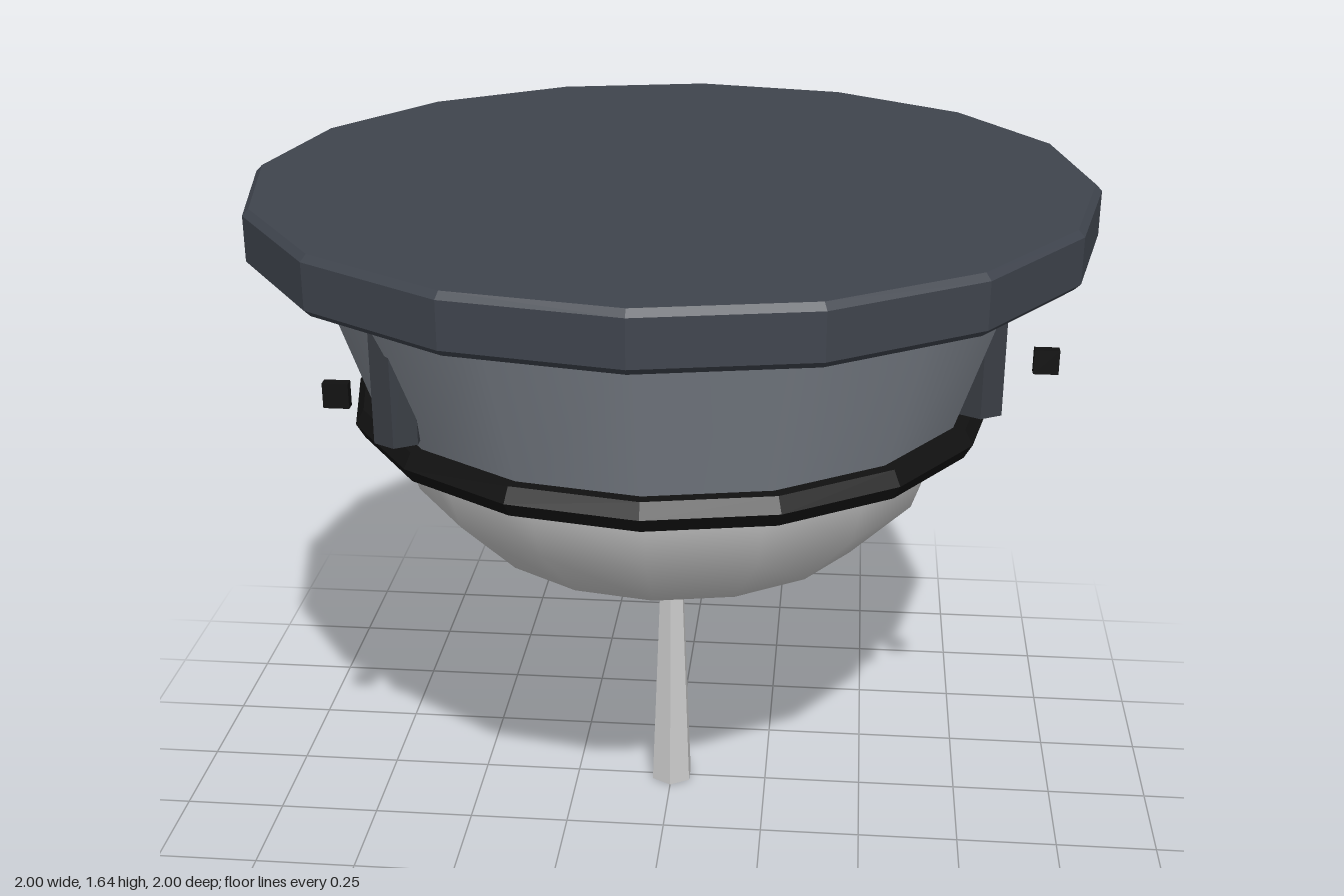
import * as THREE from 'three';

const SIDES = 16;

function mat(color, flatShading = false) {
  return new THREE.MeshStandardMaterial({ color, flatShading });
}

function add(parent, name, geometry, material, x = 0, y = 0, z = 0) {
  const mesh = new THREE.Mesh(geometry, material);
  mesh.name = name;
  mesh.position.set(x, y, z);
  parent.add(mesh);
  return mesh;
}

export function createModel() {
  const group = new THREE.Group();
  group.name = 'bowlOnStem';

  const rimMat = mat(0x3f444d, true);
  const collarMat = mat(0x80868f);
  const finMat = mat(0x3a3e45, true);
  const blackMat = mat(0x111111, true);
  const greyMat = mat(0xcccccc);
  const stemMat = mat(0xcccccc, true);

  // Flat lid with slightly chamfered edges
  const rimProfile = [[0, 1.51], [0.985, 1.51], [1, 1.525], [1, 1.63], [0.985, 1.645], [0, 1.645]]
    .map(([r, y]) => new THREE.Vector2(r, y));
  add(group, 'rim', new THREE.LatheGeometry(rimProfile, SIDES), rimMat);

  // Flared collar between band and rim
  add(group, 'collar', new THREE.CylinderGeometry(0.86, 0.717, 0.42, SIDES), collarMat, 0, 1.31, 0);

  // Shallow rounded bowl: squashed lower half of a sphere
  const bowl = new THREE.SphereGeometry(0.69, SIDES, 4, 0, Math.PI * 2, Math.PI / 2, Math.PI / 2);
  bowl.scale(1, 0.68, 1);
  add(group, 'bowl', bowl, greyMat, 0, 1.1, 0);

  // Faceted black band around the seam
  const band = new THREE.TorusGeometry(0.74, 0.04, 6, SIDES);
  band.rotateX(Math.PI / 2);
  add(group, 'band', band, blackMat, 0, 1.105, 0);

  // Tapered six-sided stem, sunk into the bowl
  add(group, 'stem', new THREE.CylinderGeometry(0.029, 0.056, 0.66, 6), stemMat, 0, 0.33, 0);

  // Three hexagonal posts set into the collar, each with a small block outside
  const postGeo = new THREE.CylinderGeometry(0.057, 0.057, 0.335, 6);
  const blockGeo = new THREE.BoxGeometry(0.057, 0.057, 0.025);
  for (let i = 0; i < 3; i++) {
    const a = THREE.MathUtils.degToRad(17.3 + i * 120);
    const c = Math.cos(a), s = Math.sin(a);
    add(group, 'post' + (i + 1), postGeo, finMat, 0.77 * c, 1.3325, 0.77 * s);
    add(group, 'block' + (i + 1), blockGeo, blackMat, 0.916 * c, 1.307, 0.916 * s);
  }

  return group;
}
